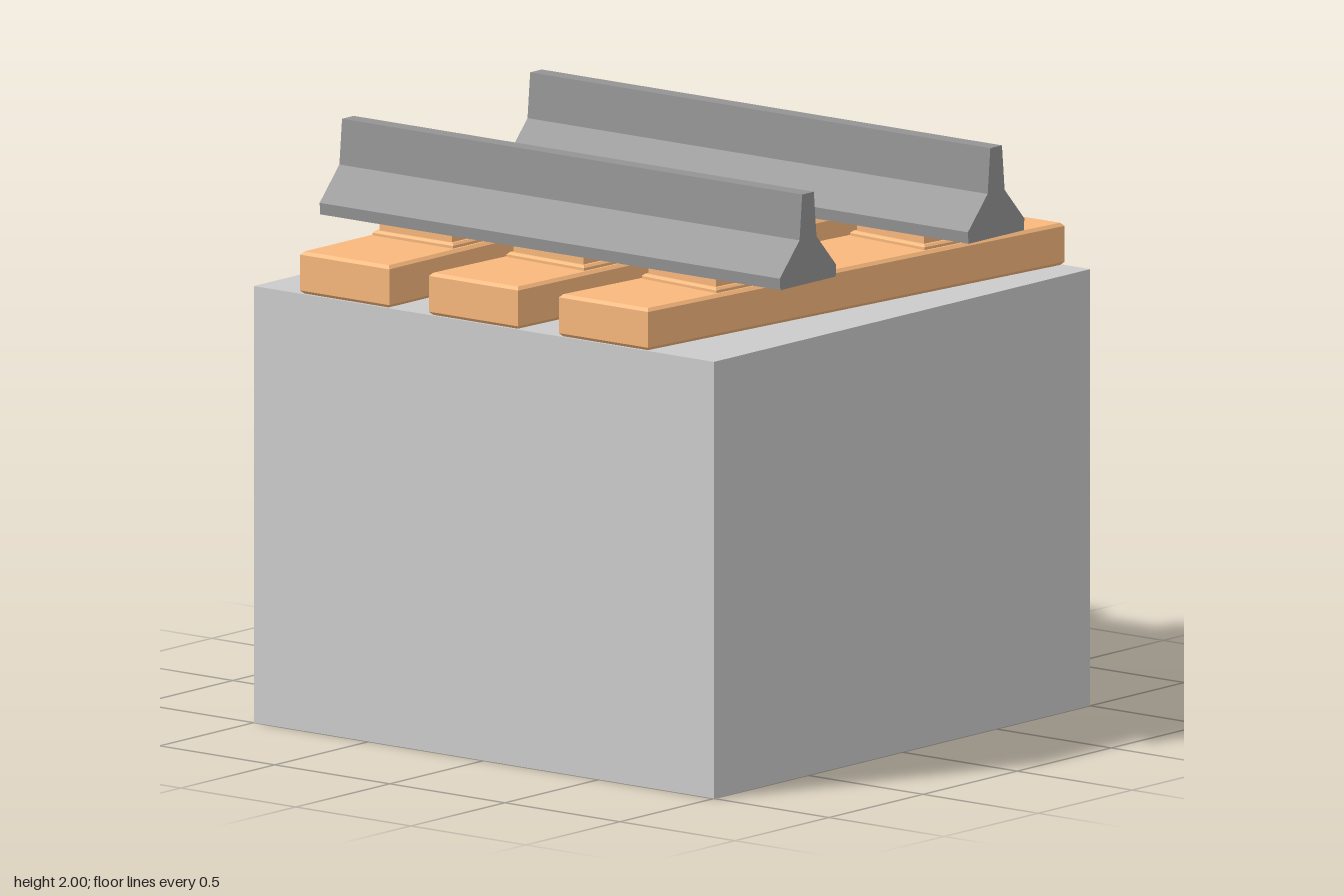
import * as THREE from 'three';

const stone = new THREE.MeshStandardMaterial({ color: 0xcccccc, flatShading: true });
const steel = new THREE.MeshStandardMaterial({ color: 0x949494, flatShading: true });
const wood = new THREE.MeshStandardMaterial({ color: 0xf8b87c, flatShading: true });

const RAIL_X = 0.5;
const BASE_TOP = 1.5;
const SLEEPER_TOP = 1.645;
const RAIL_BOTTOM = 1.69;

function part(name, geometry, material, parent) {
  const mesh = new THREE.Mesh(geometry, material);
  mesh.name = name;
  parent.add(mesh);
  return mesh;
}

// Horizontal slab from an (x, z) outline, with chamfered edges, between two heights
function slab(outline, bottom, top, bevel) {
  const shape = new THREE.Shape(outline.map(([x, z]) => new THREE.Vector2(x, -z)));
  const geometry = new THREE.ExtrudeGeometry(shape, {
    depth: top - bottom - 2 * bevel,
    bevelEnabled: true, bevelThickness: bevel, bevelSize: bevel,
    bevelOffset: -bevel, bevelSegments: 1,
  });
  return geometry.rotateX(-Math.PI / 2).translate(0, bottom + bevel, 0);
}

const rectangle = (hx, hz) => [[-hx, hz], [hx, hz], [hx, -hz], [-hx, -hz]];

// Centre line of each sleeper as (x, z) points; the rear one has a kink
const sleepers = [
  { name: 'rearSleeper', line: [[-1, -0.605], [-0.37, -0.605], [0.37, -0.657], [1, -0.657]], slope: 0 },
  { name: 'middleSleeper', line: [[-1, -0.045], [1, 0.045]], slope: 0.045 },
  { name: 'frontSleeper', line: [[-1, 0.52], [1, 0.695]], slope: 0.0875 },
];

function makeSleeper({ name, line, slope }) {
  const group = new THREE.Group();
  group.name = name;
  const half = 0.194;
  const outline = [
    ...line.map(([x, z]) => [x, z + half]),
    ...line.map(([x, z]) => [x, z - half]).reverse(),
  ];
  part(name + 'Beam', slab(outline, BASE_TOP, SLEEPER_TOP, 0.011), wood, group);

  // Stepped plate under each rail, turned with the sleeper
  for (const side of [-1, 1]) {
    const end = side < 0 ? line[0] : line[line.length - 1];
    const plate = new THREE.Group();
    plate.name = side < 0 ? 'rightRailPlate' : 'leftRailPlate';
    plate.position.set(side * RAIL_X, 0, end[1] - side * slope * (1 - RAIL_X));
    plate.rotation.y = -Math.atan(slope);
    part('plateBase', slab(rectangle(0.138, 0.175), SLEEPER_TOP - 0.015, 1.662, 0.008), wood, plate);
    part('plateTop', slab(rectangle(0.122, 0.158), 1.65, RAIL_BOTTOM + 0.004, 0.006), wood, plate);
    group.add(plate);
  }
  return group;
}

// Rail cross-section: right half from foot to head, mirrored
function makeRail() {
  const half = [[0.147, RAIL_BOTTOM], [0.15, 1.73], [0.045, 1.845], [0.031, 2]];
  const points = [...half, ...half.map(([x, y]) => [-x, y]).reverse()];
  const shape = new THREE.Shape(points.map(([x, y]) => new THREE.Vector2(x, y)));
  return new THREE.ExtrudeGeometry(shape, { depth: 2, bevelEnabled: false }).translate(0, 0, -1);
}

export function createModel() {
  const model = new THREE.Group();
  model.name = 'railTrackBlock';

  // Ground block
  part('groundBlock', new THREE.BoxGeometry(2, BASE_TOP, 2), stone, model).position.y = BASE_TOP / 2;

  // Sleepers
  for (const sleeper of sleepers) model.add(makeSleeper(sleeper));

  // Rails
  const rail = makeRail();
  for (const side of [-1, 1]) {
    part(side < 0 ? 'rightRail' : 'leftRail', rail, steel, model).position.x = side * RAIL_X;
  }
  return model;
}
